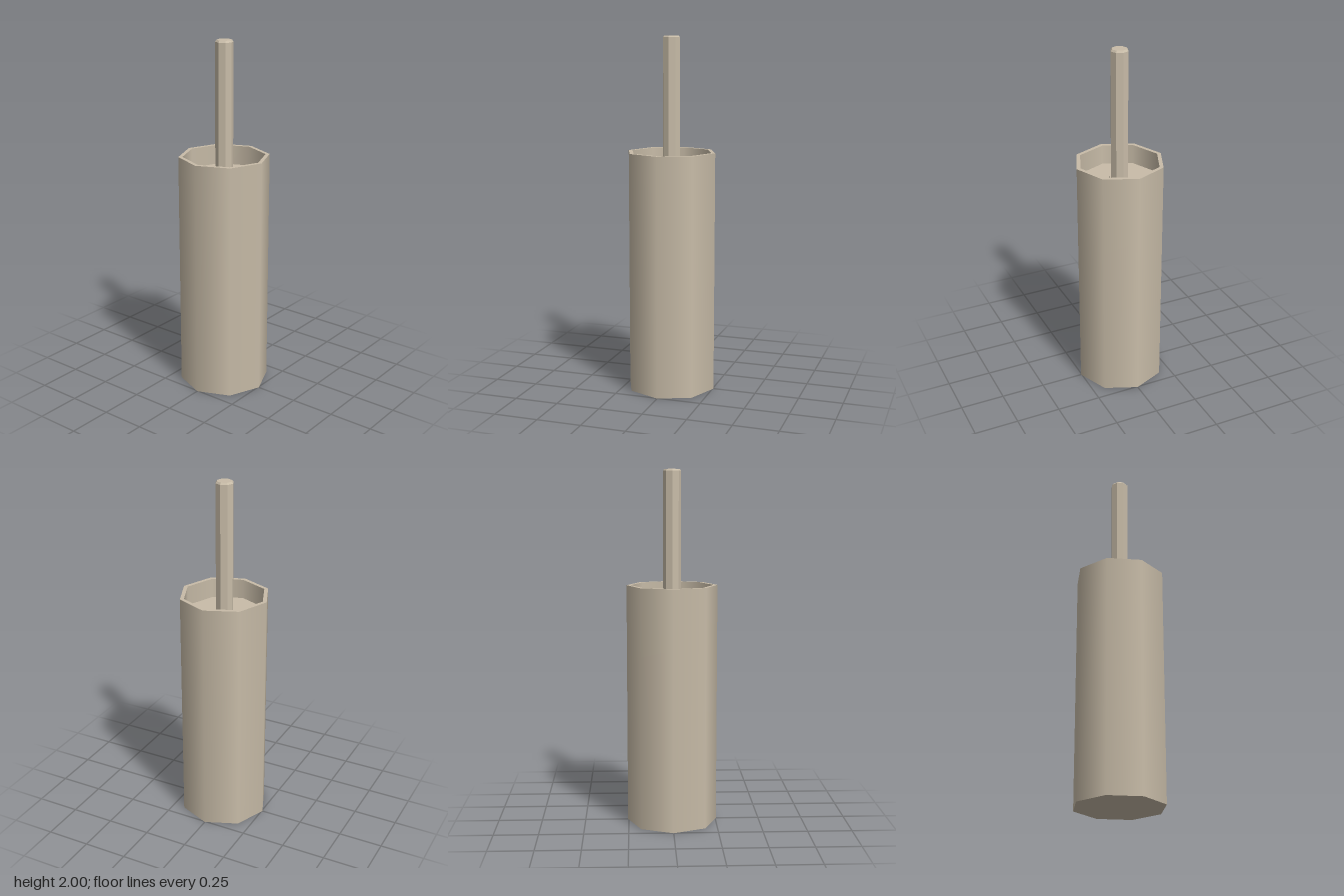
import * as THREE from 'three';

const SIDES = 8;

export function createModel() {
  const group = new THREE.Group();
  group.name = 'brushAndHolder';
  const smooth = new THREE.MeshStandardMaterial({ color: 0xc8bca8 });
  const flat = new THREE.MeshStandardMaterial({ color: 0xc8bca8, flatShading: true });
  const inside = new THREE.MeshStandardMaterial({ color: 0xc8bca8, side: THREE.BackSide });

  const add = (name, geometry, material, y = 0) => {
    const mesh = new THREE.Mesh(geometry, material);
    mesh.name = name;
    mesh.position.y = y;
    group.add(mesh);
  };
  // Eight-sided lathe from [radius, height] pairs
  const turned = (points) =>
    new THREE.LatheGeometry(points.map(([r, y]) => new THREE.Vector2(r, y)), SIDES);

  // Holder: smooth outer wall, flat base, flat rim and inner wall
  const height = 1.36, outer = 0.255, inner = 0.232, lidY = 1.25;
  add('holderWall', new THREE.CylinderGeometry(outer, outer, height, SIDES, 1, true), smooth, height / 2);
  add('holderBase', turned([[0, 0], [outer, 0]]), flat);
  add('holderRim', turned([[outer, height], [inner, height]]), flat);
  add('holderInnerWall',
    new THREE.CylinderGeometry(inner, inner, height - 0.02, SIDES, 1, true), inside, height / 2 + 0.01);
  add('holderFloor', turned([[inner, 0.02], [0, 0.02]]), flat);

  // Lid sunk below the rim, with a low collar around the handle
  add('lid', turned([
    [0, lidY - 0.03], [0.228, lidY - 0.03], [0.228, lidY],
    [0.06, lidY], [0.057, lidY + 0.01], [0.05, lidY + 0.01],
  ]), flat);

  // Handle with a small bevel at the top
  add('handle', turned([
    [0, lidY - 0.03], [0.05, lidY - 0.03], [0.05, 1.99], [0.042, 2], [0, 2],
  ]), flat);

  return group;
}
